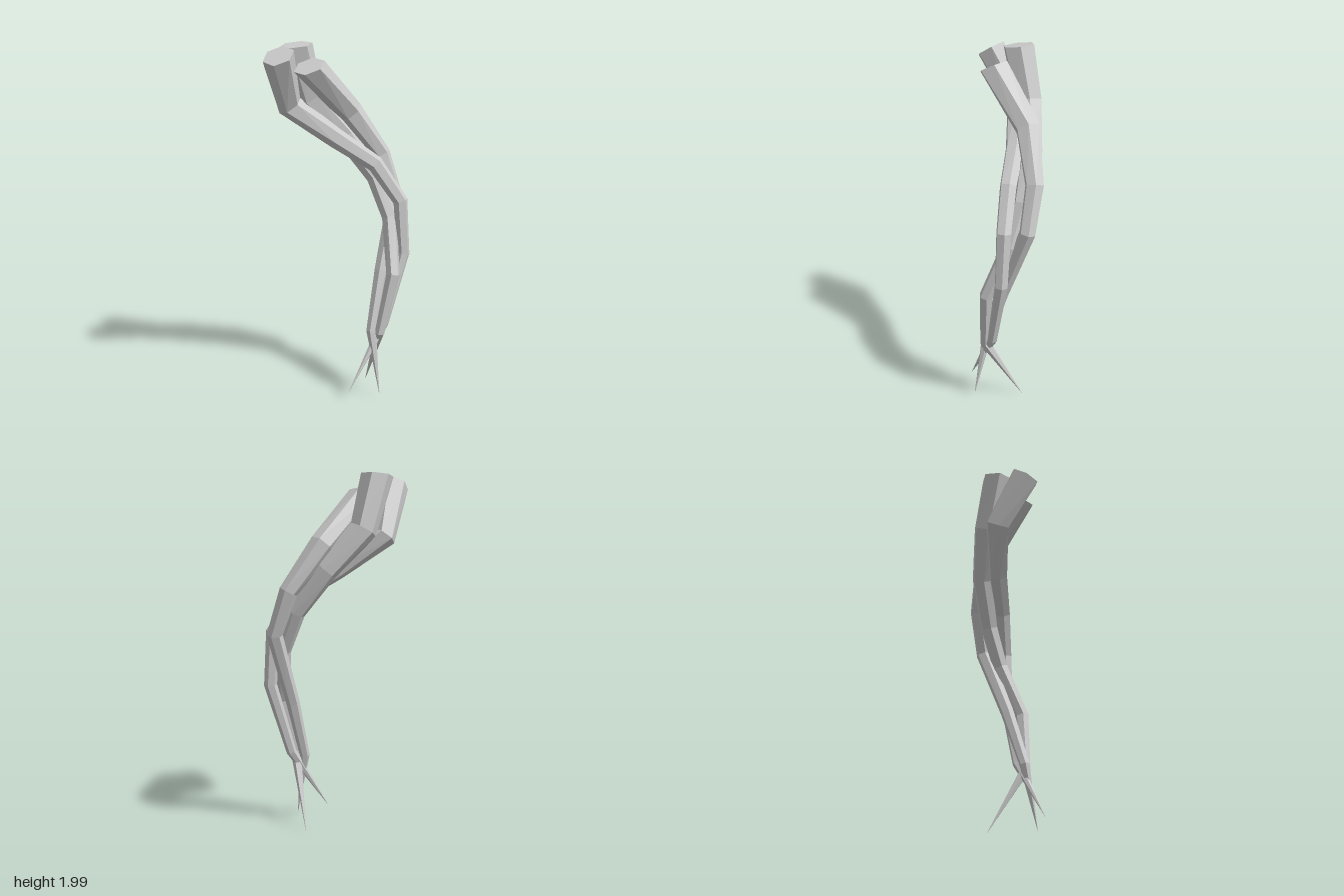
import * as THREE from 'three';

const SIDES = 6;
const UP = new THREE.Vector3(0, 1, 0);
const material = new THREE.MeshStandardMaterial({ color: 0xcccccc, flatShading: true });

// Each ring is [x, y, z, radius], from the cut top end down to the pointed tip.
const strands = {
  backRoot: {
    cap: [-0.05, 1, 0.14],
    rings: [
      [-0.255, 1.982, 0.03, 0.09], [-0.205, 1.69, -0.05, 0.078], [-0.03, 1.47, -0.145, 0.06],
      [0.14, 1.24, -0.165, 0.05], [0.235, 1.02, -0.13, 0.044], [0.288, 0.72, -0.015, 0.039],
      [0.225, 0.38, 0.025, 0.029], [0.095, 0.005, -0.15, 0.001],
    ],
  },
  frontRoot: {
    cap: [-0.1, 1, 0.62],
    rings: [
      [-0.29, 1.937, 0.21, 0.087], [-0.29, 1.655, 0.045, 0.07], [-0.05, 1.47, -0.04, 0.055],
      [0.16, 1.33, -0.09, 0.047], [0.298, 1.12, -0.125, 0.042], [0.32, 0.82, -0.12, 0.037],
      [0.235, 0.42, -0.025, 0.029], [0.09, 0.065, 0.175, 0.001],
    ],
  },
  rightRoot: {
    cap: [-0.15, 1, 0.5],
    rings: [
      [-0.147, 1.88, 0.13, 0.086], [0, 1.61, -0.135, 0.07], [0.155, 1.36, -0.238, 0.052],
      [0.24, 1.12, -0.235, 0.045], [0.203, 0.72, -0.075, 0.038],
      [0.178, 0.39, 0.035, 0.029], [0.242, 0.035, 0.085, 0.001],
    ],
  },
};

// Loft a hexagon along the rings; each ring is tilted to face its path direction.
function rootGeometry({ cap, rings }) {
  const points = rings.map(([x, y, z]) => new THREE.Vector3(x, y, z));
  const direction = (i) => points[i].clone().sub(points[i + 1]).normalize();
  const positions = [];
  const index = [];

  rings.forEach((ring, i) => {
    let normal;
    if (i === 0) normal = new THREE.Vector3(...cap).normalize();
    else if (i === rings.length - 1) normal = direction(i - 1);
    else normal = direction(i - 1).add(direction(i)).normalize();
    const tilt = new THREE.Quaternion().setFromUnitVectors(UP, normal);
    for (let k = 0; k < SIDES; k++) {
      const a = (k / SIDES) * Math.PI * 2;
      const v = new THREE.Vector3(Math.sin(a), 0, Math.cos(a)).multiplyScalar(ring[3]);
      positions.push(...v.applyQuaternion(tilt).add(points[i]).toArray());
    }
  });

  // Side walls
  for (let i = 0; i < rings.length - 1; i++) {
    for (let k = 0; k < SIDES; k++) {
      const a = i * SIDES + k;
      const b = i * SIDES + ((k + 1) % SIDES);
      index.push(a, a + SIDES, b, b, a + SIDES, b + SIDES);
    }
  }
  // Cut face at the top and the tiny closed tip
  const last = (rings.length - 1) * SIDES;
  for (let k = 1; k < SIDES - 1; k++) {
    index.push(0, k, k + 1);
    index.push(last, last + k + 1, last + k);
  }

  const geometry = new THREE.BufferGeometry();
  geometry.setAttribute('position', new THREE.Float32BufferAttribute(positions, 3));
  geometry.setIndex(index);
  const flat = geometry.toNonIndexed();
  flat.computeVertexNormals();
  return flat;
}

export function createModel() {
  const group = new THREE.Group();
  group.name = 'twistedRoots';
  for (const [name, strand] of Object.entries(strands)) {
    const mesh = new THREE.Mesh(rootGeometry(strand), material);
    mesh.name = name;
    group.add(mesh);
  }
  return group;
}
